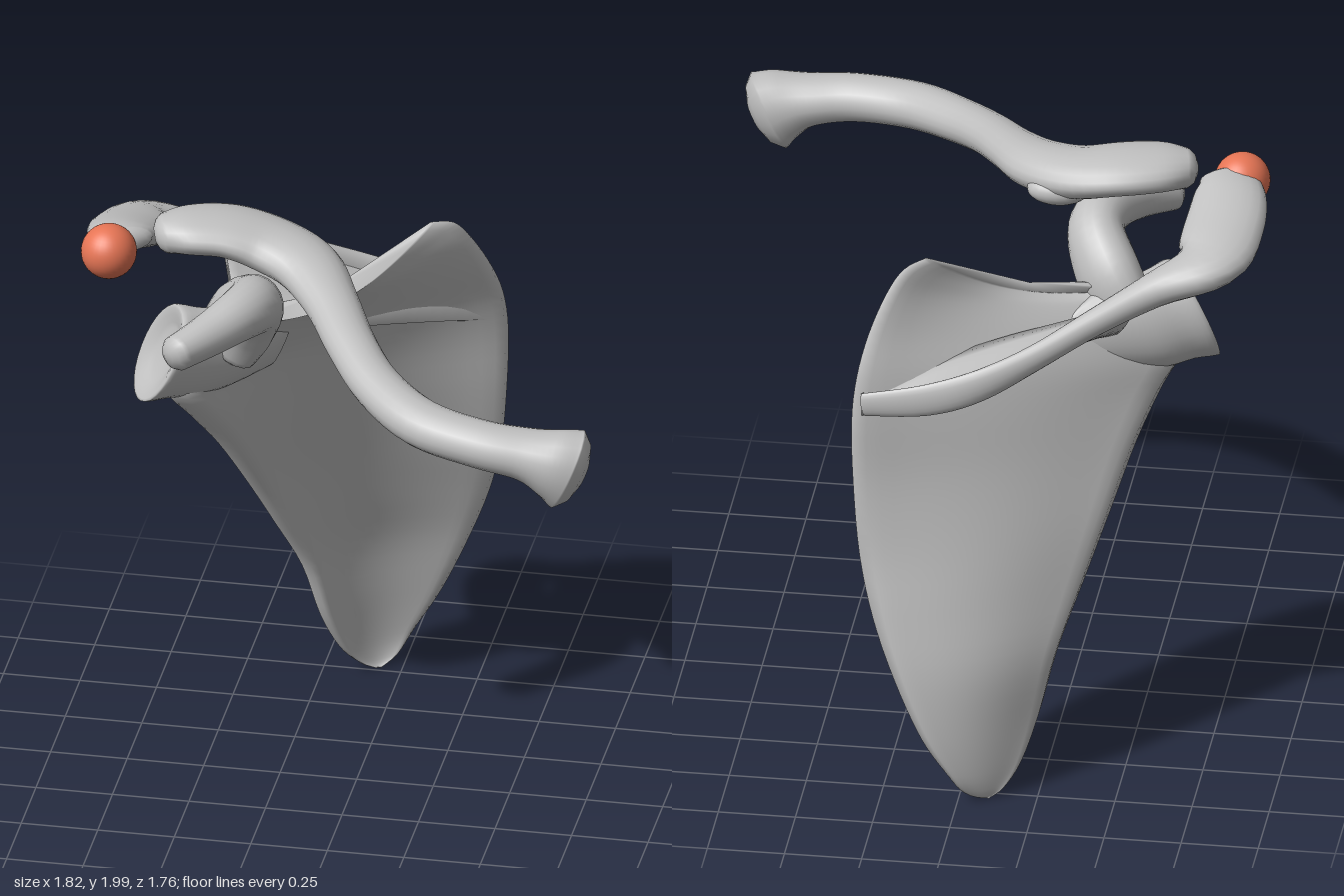
import * as THREE from 'three';

const V = (x, y, z) => new THREE.Vector3(x, y, z);

// Smoothly resamples a list of equal-length number rows
function resample(rows, n) {
  const out = [];
  const last = rows.length - 1;
  for (let k = 0; k <= n; k++) {
    const f = (k / n) * last;
    const i = Math.min(Math.floor(f), last - 1);
    const t = f - i;
    const [a, b, c, d] = [rows[Math.max(i - 1, 0)], rows[i], rows[i + 1], rows[Math.min(i + 2, last)]];
    out.push(b.map((_, j) => 0.5 * (2 * b[j] + (c[j] - a[j]) * t +
      (2 * a[j] - 5 * b[j] + 4 * c[j] - d[j]) * t * t +
      (3 * b[j] - a[j] - 3 * c[j] + d[j]) * t * t * t)));
  }
  return out;
}

// Closed skin over equal-length rings, with both ends capped; winding is made outward
function loft(rings, endCenter) {
  const n = rings[0].length;
  const pts = rings.flat();
  const mean = (r) => r.reduce((s, p) => s.add(p), V(0, 0, 0)).divideScalar(n);
  const c0 = pts.length;
  pts.push(mean(rings[0]), endCenter || mean(rings[rings.length - 1]));
  const index = [];
  const top = (rings.length - 1) * n;
  for (let j = 0; j < n; j++) {
    const k = (j + 1) % n;
    for (let i = 0; i < rings.length - 1; i++) {
      const a = i * n + j, b = i * n + k;
      index.push(a, b, a + n, b, b + n, a + n);
    }
    index.push(c0, k, j, c0 + 1, top + j, top + k);
  }
  let volume = 0;
  const cross = V(0, 0, 0);
  for (let i = 0; i < index.length; i += 3) {
    volume += pts[index[i]].dot(cross.crossVectors(pts[index[i + 1]], pts[index[i + 2]]));
  }
  if (volume < 0) index.reverse();
  const g = new THREE.BufferGeometry().setFromPoints(pts);
  g.setIndex(index);
  g.computeVertexNormals();
  return g;
}

// Rounded sweep through rows of [x, y, z, half width, half height]
function sweep(rows, steps, up = V(0, 1, 0), sides = 20) {
  const s = resample(rows, steps);
  const at = (i) => V(...s[Math.max(0, Math.min(steps, i))].slice(0, 3));
  const rings = [];
  const ring = (i, shrink, push) => {
    const tangent = at(i + 1).sub(at(i - 1)).normalize();
    const side = V(0, 0, 0).crossVectors(tangent, up).normalize();
    const over = V(0, 0, 0).crossVectors(side, tangent);
    const [, , , w, h] = s[i];
    const c = at(i).addScaledVector(tangent, push * Math.min(w, h));
    rings.push(Array.from({ length: sides }, (_, j) => {
      const a = (j / sides) * Math.PI * 2;
      return c.clone().addScaledVector(side, Math.cos(a) * w * shrink)
        .addScaledVector(over, Math.sin(a) * h * shrink);
    }));
  };
  [[0.35, -0.5], [0.75, -0.32]].forEach(([k, p]) => ring(0, k, p));
  for (let i = 0; i <= steps; i++) ring(i, 1, 0);
  [[0.75, 0.32], [0.35, 0.5]].forEach(([k, p]) => ring(steps, k, p));
  return loft(rings);
}

// Broad triangular plate: rows of lateral xyz, medial xyz, backward bow, sag, rim thickness
function bladeGeometry() {
  const rows = resample([
    [-0.09, 0.002, -0.775, -0.07, 0.002, -0.78, 0.0, 0.0, 0.008],
    [-0.14, 0.035, -0.74, -0.02, 0.035, -0.82, 0.01, 0.01, 0.015],
    [-0.19, 0.11, -0.69, 0.025, 0.11, -0.855, 0.02, 0.01, 0.02],
    [-0.24, 0.25, -0.63, 0.11, 0.25, -0.875, 0.04, 0, 0.025],
    [-0.29, 0.45, -0.58, 0.2, 0.45, -0.86, 0.06, 0, 0.03],
    [-0.36, 0.65, -0.48, 0.275, 0.65, -0.82, 0.07, 0, 0.035],
    [-0.43, 0.85, -0.37, 0.325, 0.85, -0.77, 0.08, 0, 0.04],
    [-0.5, 1.05, -0.24, 0.35, 1.08, -0.735, 0.08, 0, 0.045],
    [-0.57, 1.2, -0.13, 0.358, 1.3, -0.72, 0.07, 0, 0.055],
    [-0.63, 1.31, -0.07, 0.346, 1.45, -0.69, 0.045, 0, 0.07],
    [-0.58, 1.42, -0.09, 0.315, 1.58, -0.63, 0.01, 0.02, 0.07],
    [-0.54, 1.5, -0.11, 0.265, 1.7, -0.57, -0.03, 0.05, 0.06],
    [-0.52, 1.54, -0.12, 0.215, 1.77, -0.53, -0.05, 0.085, 0.045],
    [-0.5, 1.56, -0.13, 0.15, 1.79, -0.48, -0.065, 0.1, 0.03],
  ], 52);
  const normal = V(0.5, 0, 0.86);
  const N = 24;
  return loft(rows.map(([lx, ly, lz, mx, my, mz, bow, sag, thick]) => {
    const face = (t, sign) => {
      const arch = Math.sin(Math.PI * t);
      const edge = Math.min(1, Math.sqrt(t * 14), Math.sqrt((1 - t) * 14));
      const half = (0.01 + thick * Math.pow(1 - t, 5)) * edge;
      return V(lx, ly, lz).lerp(V(mx, my, mz), t)
        .addScaledVector(normal, sign * half - bow * arch)
        .add(V(0, -sag * arch, 0));
    };
    const ring = [];
    for (let i = 0; i <= N; i++) ring.push(face(i / N, 1));
    for (let i = N - 1; i > 0; i--) ring.push(face(i / N, -1));
    return ring;
  }));
}

// Neck flaring out to the shallow oval socket: center, half width, half height
function socketGeometry() {
  const wide = V(0.5, -0.05, 0.86), tall = V(0.38, 0.92, -0.05);
  const rings = resample([
    [-0.3, 1.41, -0.27, 0.02, 0.08],
    [-0.41, 1.42, -0.2, 0.07, 0.14],
    [-0.51, 1.425, -0.15, 0.095, 0.165],
    [-0.59, 1.44, -0.1, 0.11, 0.17],
    [-0.645, 1.45, -0.07, 0.128, 0.18],
    [-0.66, 1.45, -0.062, 0.115, 0.17],
    [-0.635, 1.45, -0.075, 0.06, 0.09],
  ], 18).map(([x, y, z, w, h]) => Array.from({ length: 28 }, (_, j) => {
    const a = (j / 28) * Math.PI * 2;
    return V(x, y, z).addScaledVector(wide, w * Math.cos(a)).addScaledVector(tall, h * Math.sin(a));
  }));
  return loft(rings, V(-0.625, 1.45, -0.08));
}

// Wall joining the blade to its crest, thicker at the root: root xyz, crest xyz, half thickness
function spineWallGeometry() {
  const rows = resample([
    [0.33, 1.37, -0.7, 0.32, 1.37, -0.73, 0.015],
    [0.12, 1.42, -0.56, 0.12, 1.4, -0.725, 0.02],
    [-0.08, 1.45, -0.43, -0.05, 1.46, -0.715, 0.02],
    [-0.25, 1.46, -0.32, -0.25, 1.56, -0.64, 0.02],
    [-0.42, 1.46, -0.22, -0.53, 1.685, -0.47, 0.028],
  ], 24);
  const N = 8;
  return loft(rows.map(([rx, ry, rz, cx, cy, cz, half]) => {
    const ring = [];
    for (let i = 0; i <= 2 * N + 1; i++) {
      const t = i <= N ? i / N : (2 * N + 1 - i) / N;
      const p = V(rx, ry, rz).lerp(V(cx, cy, cz), t);
      const grown = half * (1 + 0.9 * (1 - t) * (1 - t));
      p.y += (i <= N ? grown : -grown) - 0.025 * Math.sin(Math.PI * t);
      ring.push(p);
    }
    return ring;
  }));
}

export function createModel() {
  const model = new THREE.Group();
  const bone = new THREE.MeshStandardMaterial({ name: 'bone grey', color: 0xc0c0c0 });
  const marker = new THREE.MeshStandardMaterial({ name: 'marker orange', color: 0xe67555 });
  const add = (name, geometry, material = bone) => {
    const mesh = new THREE.Mesh(geometry, material);
    mesh.name = name;
    model.add(mesh);
    return mesh;
  };

  // Shoulder blade
  add('shoulderBladePlate', bladeGeometry());
  add('shoulderSocket', socketGeometry());
  add('bladeSpineWall', spineWallGeometry());

  // Crest along the back that widens into the flat shoulder tip
  add('bladeSpineCrest', sweep([
    [0.32, 1.37, -0.72, 0.015, 0.04],
    [0.12, 1.4, -0.72, 0.02, 0.055],
    [-0.05, 1.46, -0.71, 0.026, 0.055],
    [-0.22, 1.54, -0.65, 0.03, 0.045],
    [-0.4, 1.63, -0.55, 0.04, 0.045],
    [-0.58, 1.705, -0.44, 0.06, 0.055],
    [-0.74, 1.765, -0.35, 0.12, 0.065],
    [-0.775, 1.82, -0.2, 0.13, 0.06],
    [-0.775, 1.87, -0.06, 0.115, 0.05],
    [-0.75, 1.89, 0.01, 0.085, 0.04],
  ], 45));

  // Hooked prong in front of the socket
  add('hookedProng', sweep([
    [-0.45, 1.47, -0.16, 0.08, 0.12],
    [-0.39, 1.58, -0.12, 0.095, 0.125],
    [-0.335, 1.68, -0.02, 0.09, 0.1],
    [-0.36, 1.705, 0.1, 0.085, 0.085],
    [-0.44, 1.685, 0.22, 0.07, 0.07],
    [-0.53, 1.66, 0.325, 0.068, 0.058],
  ], 28, V(-0.5, 0.75, -0.4)));

  // S-shaped collar bone with a low knob under its outer bend
  add('collarBone', sweep([
    [-0.63, 1.92, 0.0, 0.08, 0.06],
    [-0.55, 1.93, -0.02, 0.125, 0.065],
    [-0.42, 1.925, -0.045, 0.14, 0.067],
    [-0.28, 1.895, -0.03, 0.13, 0.073],
    [-0.15, 1.87, 0.05, 0.115, 0.073],
    [-0.04, 1.83, 0.21, 0.09, 0.067],
    [0.06, 1.78, 0.39, 0.082, 0.067],
    [0.18, 1.73, 0.56, 0.082, 0.07],
    [0.35, 1.695, 0.71, 0.088, 0.074],
    [0.55, 1.675, 0.775, 0.088, 0.076],
    [0.7, 1.655, 0.78, 0.095, 0.085],
    [0.79, 1.63, 0.778, 0.105, 0.12],
    [0.838, 1.61, 0.77, 0.108, 0.142],
  ], 60));
  const knob = add('collarBoneKnob', new THREE.SphereGeometry(1, 20, 14));
  knob.position.set(-0.22, 1.855, -0.08);
  knob.scale.set(0.1, 0.05, 0.06);

  // Marker ball at the shoulder tip
  add('markerBall', new THREE.SphereGeometry(0.09, 32, 24), marker).position.set(-0.8, 1.865, 0.05);

  return model;
}
